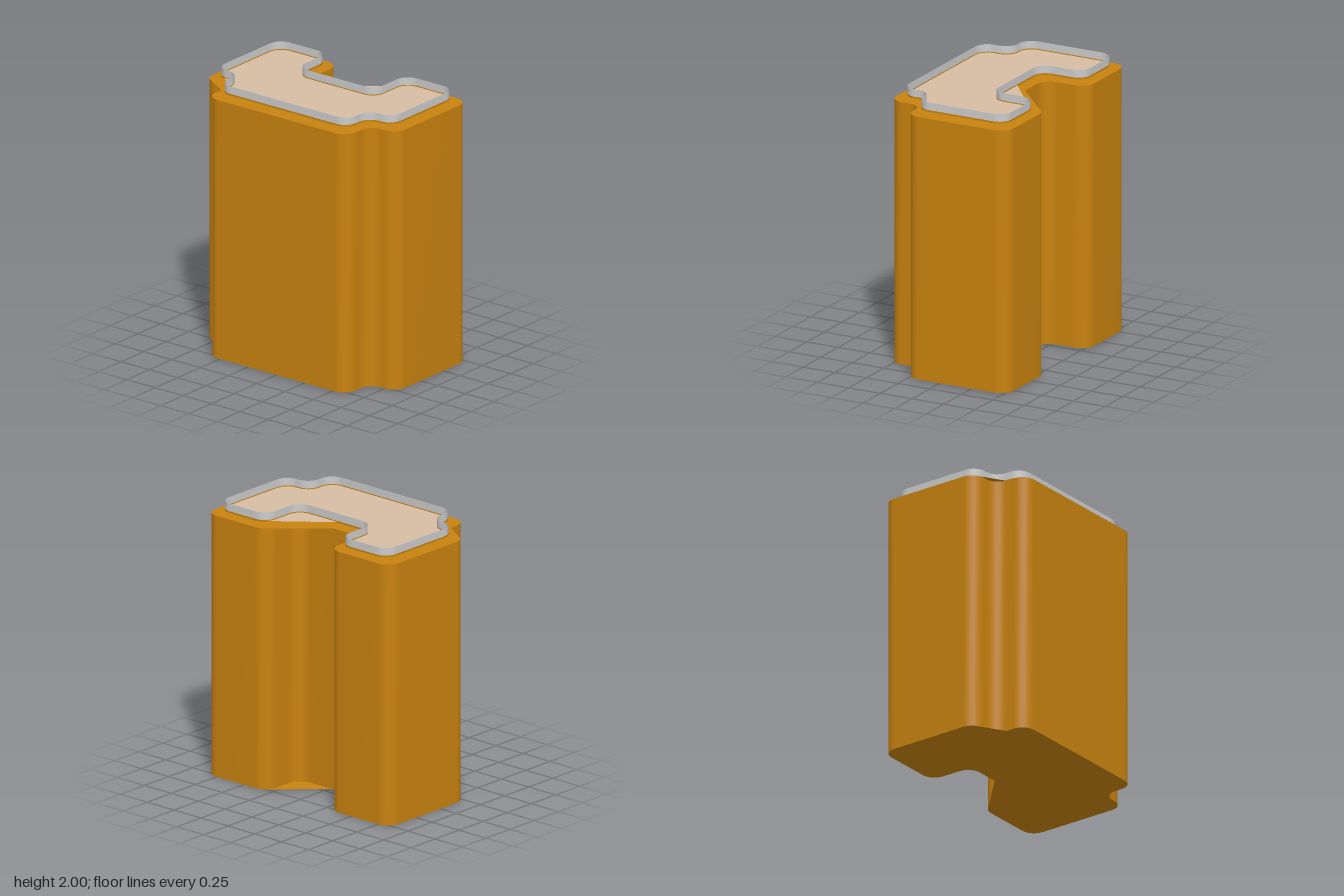
import * as THREE from 'three';

const orange = new THREE.MeshStandardMaterial({ color: 0xc8820f, side: THREE.DoubleSide });
const tan = new THREE.MeshStandardMaterial({ color: 0xd6bda3, side: THREE.DoubleSide });
const grey = new THREE.MeshStandardMaterial({ color: 0xcccccc, side: THREE.DoubleSide });

// Rounded points for one corner, from the side of the previous corner to the next.
function roundCorner(prev, corner, next, r, steps = 6) {
  const a = prev.clone().sub(corner).normalize();
  const b = next.clone().sub(corner).normalize();
  const centre = corner.clone().addScaledVector(a, r).addScaledVector(b, r);
  return Array.from({ length: steps + 1 }, (_, i) => {
    const t = (i / steps) * Math.PI / 2;
    return centre.clone().addScaledVector(b, -r * Math.cos(t)).addScaledVector(a, -r * Math.sin(t));
  });
}

// Stepped, notched plan (x, z): the wall follows it; the cap bridges two of its recesses.
function plan({ w, back, front, sx, sz, nx, nz, r, bridgeX, bridgeZ }) {
  const corners = [
    [sx, front], [sx, sz], [w, sz], [w, back], [nx, back], [nx, nz],
    [-nx, nz], [-nx, back], [-w, back], [-w, sz], [-sx, sz], [-sx, front],
  ].map(([x, z]) => new THREE.Vector2(x, z));
  const n = corners.length;
  const wall = [], cap = [];
  corners.forEach((c, i) => {
    const arc = roundCorner(corners[(i + n - 1) % n], c, corners[(i + 1) % n], r);
    wall.push(...arc);
    if (i === 5) cap.push(new THREE.Vector2(bridgeX, nz));
    else if (i === 10) cap.push(new THREE.Vector2(-sx, bridgeZ));
    else if (i === 4 || i === 9) cap.push(...arc.slice(0, 4));
    else cap.push(...arc);
  });
  return { wall, cap };
}

// Upright smooth band along a closed plan.
function band(name, points, y0, y1, material) {
  const n = points.length;
  const positions = [], index = [];
  points.forEach((p, i) => {
    positions.push(p.x, y0, p.y, p.x, y1, p.y);
    const a = 2 * i, b = 2 * ((i + 1) % n);
    index.push(a, b, b + 1, a, b + 1, a + 1);
  });
  const g = new THREE.BufferGeometry();
  g.setAttribute('position', new THREE.Float32BufferAttribute(positions, 3));
  g.setIndex(index);
  g.computeVertexNormals();
  const mesh = new THREE.Mesh(g, material);
  mesh.name = name;
  return mesh;
}

// Flat horizontal sheet filling a plan, facing up or down.
function sheet(name, points, y, material, down = false) {
  const shape = new THREE.Shape(points.map((p) => new THREE.Vector2(p.x, down ? p.y : -p.y)));
  const g = new THREE.ShapeGeometry(shape);
  g.rotateX(down ? Math.PI / 2 : -Math.PI / 2);
  const mesh = new THREE.Mesh(g, material);
  mesh.name = name;
  mesh.position.y = y;
  return mesh;
}

export function createModel() {
  const model = new THREE.Group();
  model.name = 'building';

  const outer = plan({
    w: 0.853, back: -0.53, front: 0.53, sx: 0.62, sz: 0.27, nx: 0.29, nz: -0.19,
    r: 0.1, bridgeX: -0.02, bridgeZ: 0.365,
  });
  const inner = plan({
    w: 0.778, back: -0.473, front: 0.455, sx: 0.567, sz: 0.225, nx: 0.345, nz: -0.128,
    r: 0.095, bridgeX: -0.02, bridgeZ: 0.31,
  });

  // Main block
  const body = new THREE.Group();
  body.name = 'body';
  body.add(
    band('outerWall', outer.wall, 0, 1.91, orange),
    sheet('base', outer.cap, 0, orange, true),
    sheet('roofEdge', outer.cap, 1.91, orange),
  );

  // Roof deck with its low rim, floating just above the block
  const roof = new THREE.Group();
  roof.name = 'roof';
  roof.add(
    band('rimFoot', inner.wall, 1.932, 1.945, orange),
    band('rim', inner.wall, 1.945, 2, grey),
    sheet('roofDeck', inner.cap, 1.938, tan),
  );

  model.add(body, roof);
  return model;
}
